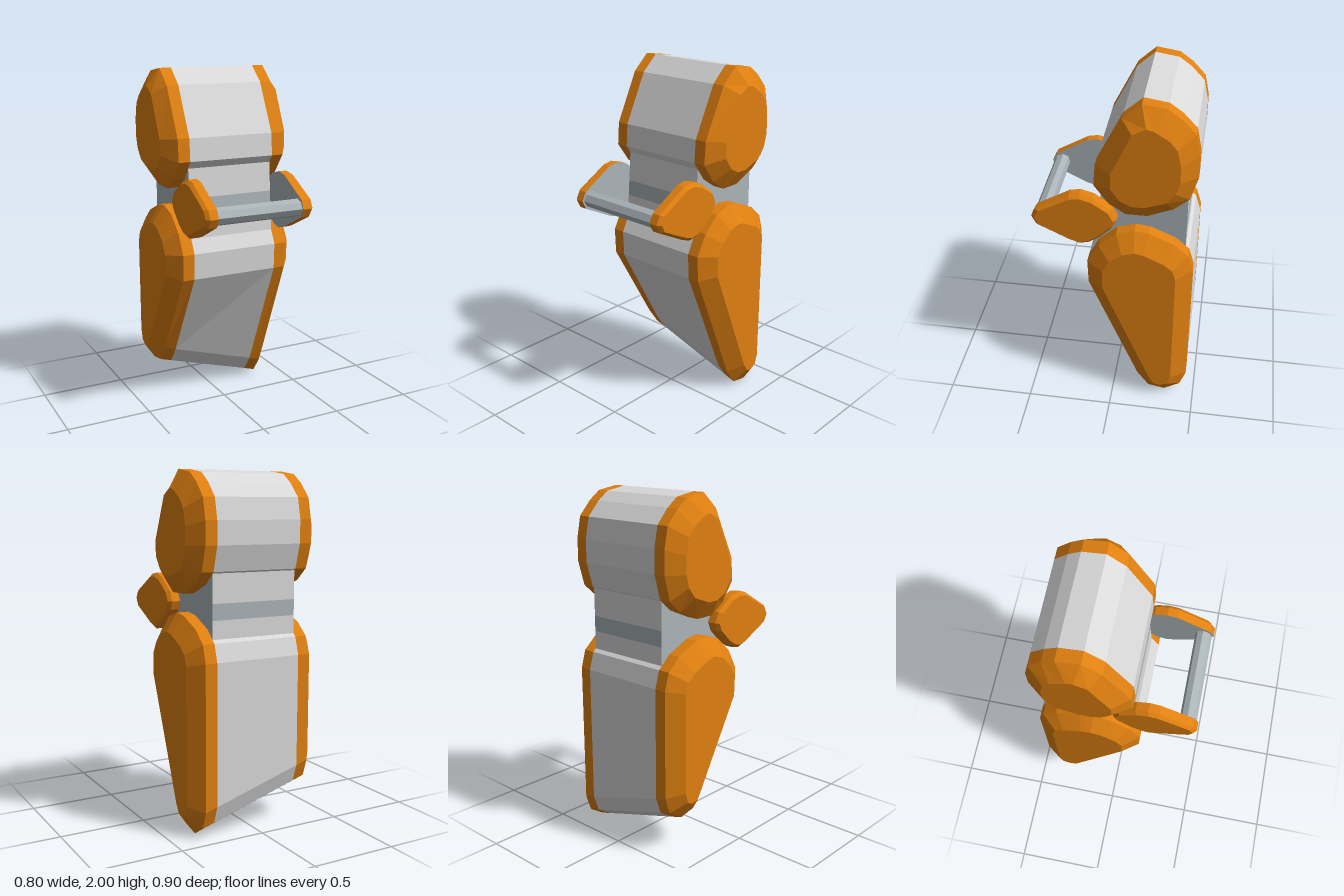
import * as THREE from 'three';

const orange = new THREE.MeshStandardMaterial({ color: 0xe08010 });
const lightGrey = new THREE.MeshStandardMaterial({ color: 0xdadada });
const steel = new THREE.MeshStandardMaterial({ color: 0xabb5b9 });
const named = { orange, lightGrey, steel };
for (const key in named) named[key].name = key;

// Profiles are [z, y] loops that start at the top and run towards the back
const headOuter = [[-0.15, 2], [-0.28, 1.98], [-0.35, 1.93], [-0.425, 1.85], [-0.45, 1.73], [-0.45, 1.6], [-0.41, 1.46],
  [-0.33, 1.39], [-0.19, 1.33], [-0.07, 1.33], [0.02, 1.39], [0.1, 1.5], [0.09, 1.63], [-0.05, 1.91]];
const headInner = [[-0.18, 1.9], [-0.22, 1.89], [-0.3, 1.84], [-0.34, 1.79], [-0.36, 1.7], [-0.36, 1.6], [-0.34, 1.53],
  [-0.29, 1.47], [-0.18, 1.43], [-0.11, 1.43], [-0.05, 1.46], [0, 1.53], [0, 1.62], [-0.11, 1.86]];
const bodyOuter = [[-0.12, 1.22], [-0.2, 1.21], [-0.34, 1.15], [-0.42, 1.08], [-0.45, 0.98], [-0.45, 0.16], [-0.415, 0.06],
  [-0.32, 0], [-0.22, 0.02], [-0.15, 0.12], [0.14, 0.83], [0.145, 0.98], [0.08, 1.1], [-0.02, 1.19]];
const bodyInner = [[-0.13, 1.12], [-0.18, 1.11], [-0.29, 1.06], [-0.34, 1.02], [-0.36, 0.96], [-0.36, 0.18], [-0.34, 0.12],
  [-0.3, 0.1], [-0.26, 0.11], [-0.23, 0.16], [0.05, 0.85], [0.05, 0.97], [0.01, 1.04], [-0.06, 1.1]];
const armOuter = [[0.18, 1.42], [0.11, 1.4], [0.01, 1.33], [-0.02, 1.27], [0, 1.22], [0.08, 1.14],
  [0.14, 1.1], [0.19, 1.09], [0.25, 1.11], [0.43, 1.2], [0.455, 1.25], [0.43, 1.3], [0.24, 1.41]];
const armInner = armOuter.map(([z, y]) => [0.2 + (z - 0.2) * 0.92, 1.255 + (y - 1.255) * 0.88]);

// Skins a row of cross-sections [x, profile], ordered by rising x, with optional end faces
function loft(name, rings, sideMat, startMat, endMat) {
  const pos = [], mats = [];
  const geo = new THREE.BufferGeometry();
  const loops = rings.map(([x, loop]) => loop.map(([z, y]) => [x, y, z]));
  const n = loops[0].length;
  let start = 0;
  const closeGroup = (mat) => {
    const end = pos.length / 3;
    geo.addGroup(start, end - start, mats.length);
    mats.push(mat);
    start = end;
  };
  for (let r = 0; r < loops.length - 1; r++) {
    const a = loops[r], b = loops[r + 1];
    for (let i = 0; i < n; i++) {
      const j = (i + 1) % n;
      pos.push(...a[i], ...b[i], ...b[j], ...a[i], ...b[j], ...a[j]);
    }
  }
  closeGroup(sideMat);
  const cap = (loop, flip, mat) => {
    const c = [0, 1, 2].map((k) => loop.reduce((s, p) => s + p[k], 0) / n);
    for (let i = 0; i < n; i++) {
      const p = loop[i], q = loop[(i + 1) % n];
      pos.push(...c, ...(flip ? q : p), ...(flip ? p : q));
    }
    closeGroup(mat);
  };
  if (startMat) cap(loops[0], false, startMat);
  if (endMat) cap(loops[loops.length - 1], true, endMat);
  geo.setAttribute('position', new THREE.Float32BufferAttribute(pos, 3));
  geo.computeVertexNormals();
  const mesh = new THREE.Mesh(geo, mats);
  mesh.name = name;
  return mesh;
}

// A grey block between two bevelled orange side panels
function block(name, outer, inner, shape = (x, loop) => loop) {
  const g = new THREE.Group();
  g.name = name;
  const ring = (x, loop) => [x, shape(x, loop)];
  g.add(
    loft(name + 'Core', [ring(-0.26, outer), ring(0.26, outer)], lightGrey),
    loft(name + 'RightPanel', [ring(-0.4, inner), ring(-0.33, outer), ring(-0.26, outer)], orange, orange),
    loft(name + 'LeftPanel', [ring(0.26, outer), ring(0.33, outer), ring(0.4, inner)], orange, null, orange),
  );
  return g;
}

export function createModel() {
  const model = new THREE.Group();
  model.name = 'model';

  // The underside of the lower block slopes up towards the right
  const slope = (x, loop) => loop.map(([z, y]) =>
    [z, y < 0.5 ? y + (0.33 - Math.max(-0.33, Math.min(0.33, x))) * 0.303 : y]);
  model.add(block('upperBlock', headOuter, headInner), block('lowerBlock', bodyOuter, bodyInner, slope));

  // Neck with a steel band
  const front = (y) => 0.1 - (y - 1.08) * 0.08;
  const section = (name, y0, y1, mat) => {
    const p = [[front(y1), y1], [-0.4, y1], [-0.4, y0], [front(y0), y0]];
    model.add(loft(name, [[-0.26, p], [0.26, p]], mat, steel, steel));
  };
  section('neckTop', 1.29, 1.46, lightGrey);
  section('neckBand', 1.2, 1.29, steel);
  section('neckBottom', 1.06, 1.2, lightGrey);

  // Side arms with steel inner faces
  model.add(
    loft('rightArm', [[-0.33, armInner], [-0.31, armOuter], [-0.26, armOuter]], orange, orange, steel),
    loft('leftArm', [[0.26, armOuter], [0.31, armOuter], [0.33, armInner]], orange, steel, orange),
  );

  // Bar joining the arms
  const bar = [[0.39, 1.3], [0.36, 1.285], [0.35, 1.25], [0.36, 1.215], [0.39, 1.2], [0.425, 1.215], [0.445, 1.25], [0.425, 1.285]];
  model.add(loft('crossBar', [[-0.26, bar], [0.26, bar]], steel));
  return model;
}
